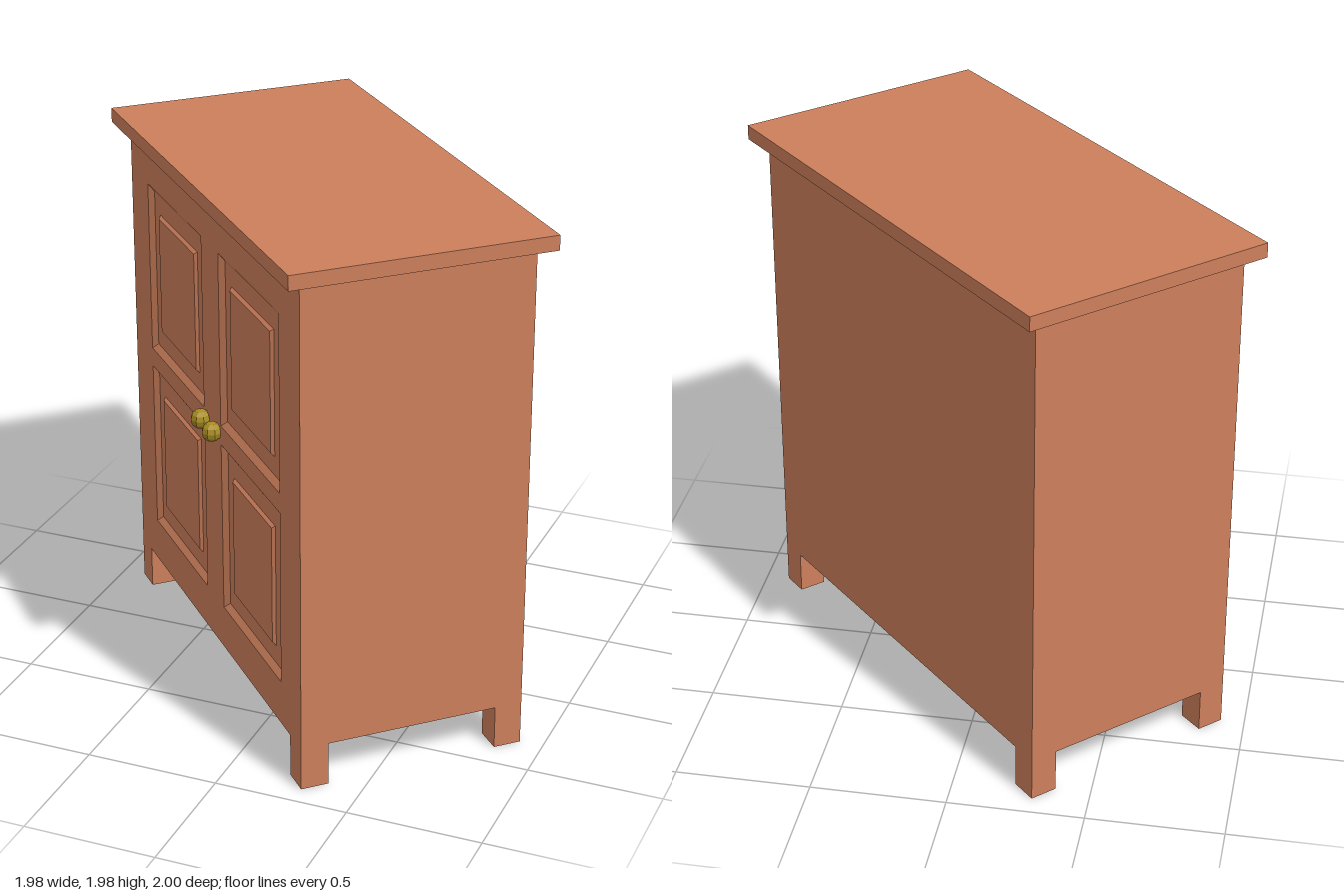
import * as THREE from 'three';

const W = 1.739, D = 0.857;          // carcass width and depth
const BASE = 0.165, TOP = 1.925;     // carcass bottom and top
const RECESS = 0.0175;               // depth of the sunk panels
const FRONT = D / 2;

const wood = new THREE.MeshStandardMaterial({ color: 0xcd7f5c, flatShading: true });
const brass = new THREE.MeshStandardMaterial({ color: 0xa88c22, flatShading: true });

function add(parent, name, geometry, material, x = 0, y = 0, z = 0) {
  const mesh = new THREE.Mesh(geometry, material);
  mesh.name = name;
  mesh.position.set(x, y, z);
  parent.add(mesh);
  return mesh;
}

// Corners of a rectangle, counter-clockwise from the front
const corners = (w, h, z) => [[-1, -1], [1, -1], [1, 1], [-1, 1]].map(([a, b]) => [a * w / 2, b * h / 2, z]);

// Four sloping faces from an outer to an inner rectangle, optionally closed by a flat face
function bevel(w, h, inset, z0, z1, capped) {
  const outer = corners(w, h, z0), inner = corners(w - 2 * inset, h - 2 * inset, z1);
  const p = [];
  for (let i = 0; i < 4; i++) {
    const j = (i + 1) % 4;
    p.push(outer[i], outer[j], inner[j], outer[i], inner[j], inner[i]);
  }
  if (capped) p.push(inner[0], inner[1], inner[2], inner[0], inner[2], inner[3]);
  const g = new THREE.BufferGeometry();
  g.setAttribute('position', new THREE.Float32BufferAttribute(p.flat(), 3));
  g.computeVertexNormals();
  return g;
}

function rectangle(target, x0, y0, x1, y1) {
  target.moveTo(x0, y0);
  target.lineTo(x1, y0);
  target.lineTo(x1, y1);
  target.lineTo(x0, y1);
  target.closePath();
  return target;
}

export function createModel() {
  const model = new THREE.Group();
  model.name = 'cabinet';

  // Carcass and overhanging top
  add(model, 'carcass', new THREE.BoxGeometry(W, TOP - BASE, D - RECESS), wood, 0, (TOP + BASE) / 2, -RECESS / 2);
  add(model, 'top', new THREE.BoxGeometry(1.839, 0.055, 0.972), wood, 0, TOP + 0.0275, 0);

  // Square legs flush with the corners
  const leg = 0.104;
  for (const sx of [-1, 1]) for (const sz of [-1, 1]) {
    add(model, 'leg', new THREE.BoxGeometry(leg, BASE, leg), wood,
      sx * (W - leg) / 2, BASE / 2, sz * (D - leg) / 2);
  }

  // Door front with four openings, each with a bevelled rim and raised field
  const face = rectangle(new THREE.Shape(), -W / 2, BASE, W / 2, TOP);
  const pw = 0.589, ph = 0.67;
  for (const x of [-0.384, 0.384]) for (const y of [0.67, 1.415]) {
    face.holes.push(rectangle(new THREE.Path(), x - pw / 2, y - ph / 2, x + pw / 2, y + ph / 2));
    add(model, 'panelRim', bevel(pw, ph, 0.025, FRONT, FRONT - RECESS, false), wood, x, y, 0);
    add(model, 'raisedPanel', bevel(0.41, 0.476, 0.01, FRONT - RECESS, FRONT - RECESS + 0.011, true), wood, x, y, 0);
  }
  add(model, 'doorFrame', new THREE.ExtrudeGeometry(face, { depth: RECESS, bevelEnabled: false }),
    wood, 0, 0, FRONT - RECESS);

  // Pair of faceted knobs
  for (const x of [-0.06, 0.06]) {
    add(model, 'knob', new THREE.SphereGeometry(0.038, 8, 6), brass, x, 1.05, FRONT + 0.025);
  }

  // The cabinet stands turned on the floor
  model.rotation.y = -0.801;
  const root = new THREE.Group();
  root.name = 'turnedCabinet';
  root.add(model);
  return root;
}
